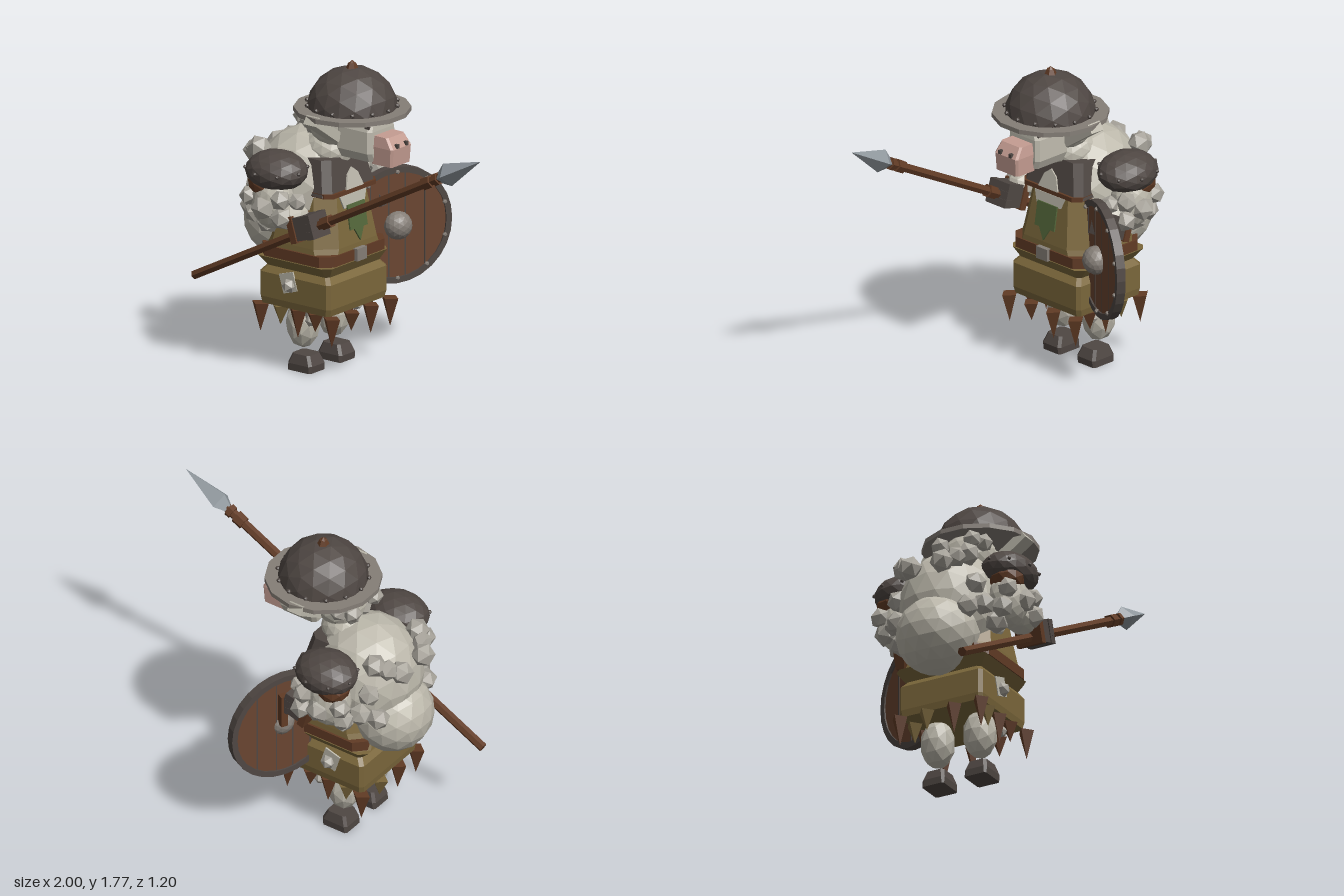
import * as THREE from 'three';

const mat = (name, color) => {
  const m = new THREE.MeshStandardMaterial({ color, flatShading: true });
  m.name = name;
  return m;
};
const M = {
  wool: mat('wool', 0xbcb8ab), curl: mat('wool curl', 0xa9a59c), iron: mat('dark iron', 0x4f4743),
  trim: mat('grey trim', 0x857e77), leather: mat('leather', 0x613b25), wood: mat('shield wood', 0x6a4530),
  cloth: mat('olive cloth', 0x7b673b), green: mat('green emblem', 0x53663a), skin: mat('pink skin', 0xc59d92),
  steel: mat('steel', 0x8e969c),
};
const MID = 0.1; // body centre in z; the figure looks along +x

function add(parent, name, geo, material, x = 0, y = 0, z = 0) {
  const m = new THREE.Mesh(geo, material);
  m.name = name;
  m.position.set(x, y, z);
  parent.add(m);
  return m;
}
const box = (x, y, z) => new THREE.BoxGeometry(x, y, z);
const cyl = (r0, r1, h, n) => new THREE.CylinderGeometry(r0, r1, h, n);
const ball = (rx, ry, rz, detail = 2) => new THREE.IcosahedronGeometry(1, detail).scale(rx, ry, rz);

// Sphere flattened below a given height (as a fraction of the radius)
function dome(rx, ry, rz, floor) {
  const g = new THREE.IcosahedronGeometry(1, 2), p = g.attributes.position;
  for (let i = 0; i < p.count; i++) if (p.getY(i) < floor) p.setY(i, floor);
  return g.scale(rx, ry, rz);
}

// Stack of chamfered rectangles, each [y, x0, x1, half depth, chamfer]
function loft(sections) {
  const pos = [], idx = [];
  sections.forEach(([y, a, b, d, c]) => {
    [[b, d - c], [b, c - d], [b - c, -d], [a + c, -d], [a, c - d], [a, d - c], [a + c, d], [b - c, d]]
      .forEach(([x, z]) => pos.push(x, y, z));
  });
  const top = (sections.length - 1) * 8;
  for (let s = 0; s < top; s += 8)
    for (let i = 0; i < 8; i++) {
      const j = (i + 1) % 8;
      idx.push(s + i, s + j, s + 8 + j, s + i, s + 8 + j, s + 8 + i);
    }
  for (let i = 1; i < 7; i++) idx.push(0, i + 1, i, top, top + i, top + i + 1);
  const g = new THREE.BufferGeometry();
  g.setAttribute('position', new THREE.Float32BufferAttribute(pos, 3));
  g.setIndex(idx);
  g.computeVertexNormals();
  return g;
}

function curls(parent, list, r = 0.06) {
  list.forEach(([x, y, z, k = 1], i) => {
    add(parent, 'woolCurl', new THREE.IcosahedronGeometry(r * k, 0), M.curl, x, y, z).rotation.set(i, i * 2, 0);
  });
}

function buildHead() {
  const g = new THREE.Group();
  g.name = 'head';
  add(g, 'headWool', ball(0.15, 0.14, 0.15), M.wool, -0.29, 1.4, 0);
  add(g, 'neckWool', ball(0.15, 0.12, 0.14), M.wool, -0.34, 1.24, 0);
  add(g, 'face', loft([[1.25, -0.19, 0.04, 0.1, 0.02], [1.3, -0.2, 0.045, 0.122, 0.02],
    [1.42, -0.2, 0.04, 0.115, 0.02], [1.485, -0.2, 0.03, 0.085, 0.02]]), M.wool);
  add(g, 'muzzle', loft([[1.24, 0.02, 0.165, 0.085, 0.012], [1.34, 0.02, 0.172, 0.088, 0.012],
    [1.4, 0.02, 0.13, 0.078, 0.012]]), M.skin);
  for (const s of [-1, 1]) {
    add(g, 'nostril', box(0.02, 0.022, 0.018), M.iron, 0.168, 1.355, s * 0.04);
    add(g, 'eye', box(0.03, 0.03, 0.015), M.iron, 0.01, 1.45, s * 0.1);
    const ear = add(g, 'ear', box(0.09, 0.055, 0.24), M.wool, -0.21, 1.425, s * 0.215);
    ear.rotation.x = -s * 0.6;
    curls(g, [[-0.44, 1.43, s * 0.1], [-0.37, 1.43, s * 0.13], [-0.4, 1.37, s * 0.05]], 0.055);
  }
  // Helmet with wide brim, rivets and top knob
  const h = new THREE.Group();
  h.name = 'helmet';
  h.position.set(-0.175, 1.5, 0);
  add(h, 'helmetDome', dome(0.25, 0.235, 0.25, 0), M.iron);
  add(h, 'helmetBrim', cyl(0.322, 0.322, 0.026, 14), M.trim, 0, -0.003, 0);
  add(h, 'helmetKnob', cyl(0.022, 0.035, 0.03, 6), M.leather, 0, 0.24, 0);
  add(h, 'knobTip', new THREE.ConeGeometry(0.022, 0.02, 6), M.leather, 0, 0.262, 0);
  for (let i = 0; i < 14; i++) {
    const a = (i / 14) * Math.PI * 2;
    add(h, 'helmetRivet', ball(0.014, 0.014, 0.014, 0), M.iron, Math.cos(a) * 0.252, 0.028, Math.sin(a) * 0.252);
  }
  g.add(h);
  return g;
}

function buildBody() {
  const g = new THREE.Group();
  g.name = 'body';
  add(g, 'torsoWool', ball(0.31, 0.34, 0.3), M.wool, -0.475, 1.005, 0);
  add(g, 'rumpWool', ball(0.225, 0.225, 0.235), M.wool, -0.64, 0.795, 0);
  for (const s of [-1, 1])
    curls(g, [[-0.66, 1.23, s * 0.2, 1.15], [-0.77, 1.17, s * 0.1, 1.15], [-0.72, 1.2, s * 0.16],
      [-0.7, 0.9, s * 0.22, 1.1], [-0.62, 0.93, s * 0.28, 1.1], [-0.52, 0.86, s * 0.3, 1.15], [-0.65, 1.05, s * 0.24, 1.1]]);
  // Clothing
  add(g, 'tunic', loft([[0.64, -0.64, -0.13, 0.275, 0.07], [0.74, -0.62, -0.135, 0.265, 0.1],
    [1.04, -0.55, -0.185, 0.215, 0.09]]), M.cloth);
  add(g, 'skirt', loft([[0.37, -0.615, -0.14, 0.255, 0.02], [0.41, -0.62, -0.13, 0.262, 0.02],
    [0.55, -0.62, -0.13, 0.262, 0.02], [0.585, -0.59, -0.16, 0.235, 0.02], [0.645, -0.645, -0.125, 0.28, 0.04]]), M.cloth);
  add(g, 'belt', loft([[0.65, -0.625, -0.125, 0.28, 0.06], [0.71, -0.625, -0.125, 0.28, 0.06]]), M.leather);
  add(g, 'buckle', box(0.03, 0.07, 0.085), M.trim, -0.12, 0.68, 0);
  add(g, 'collar', loft([[1.03, -0.55, -0.165, 0.226, 0.04], [1.225, -0.5, -0.21, 0.18, 0.04]]), M.iron);
  add(g, 'collarStrap', loft([[1.025, -0.55, -0.155, 0.222, 0.04], [1.05, -0.55, -0.155, 0.222, 0.04]]), M.leather);
  const tuft = new THREE.Shape([[-0.075, 0], [0.075, 0], [0.045, 0.08], [0, 0.115], [-0.045, 0.08]].map(p => new THREE.Vector2(...p)));
  const flag = new THREE.Shape([[-0.075, 0.14], [-0.075, 0], [-0.04, 0], [0, -0.07], [0.04, 0], [0.075, 0], [0.075, 0.14]].map(p => new THREE.Vector2(...p)));
  const patch = new THREE.Shape([[-0.09, 0], [0.09, 0.01], [0.115, 0.07], [-0.115, 0.07]].map(p => new THREE.Vector2(...p)));
  const plate = (name, shape, m, x, y, tilt) => {
    const geo = new THREE.ExtrudeGeometry(shape, { depth: 0.009, bevelEnabled: false }).rotateY(Math.PI / 2);
    add(g, name, geo, m, x, y, 0).rotation.z = tilt;
  };
  plate('chestTuft', tuft, M.wool, -0.162, 1.048, 0.23);
  plate('chestPatch', patch, M.wool, -0.166, 0.945, 0.16);
  plate('emblem', flag, M.green, -0.135, 0.825, 0.16);
  for (const s of [-1, 1]) {
    add(g, 'skirtPatch', box(0.1, 0.11, 0.009), M.wool, -0.41, 0.52, s * 0.262).rotation.z = 0.3;
    add(g, 'skirtStud', new THREE.IcosahedronGeometry(0.042, 0), M.curl, -0.4, 0.505, s * 0.27);
  }
  // Hanging rags around the hem
  const rag = (x, z, i) => {
    const h = i % 2 ? 0.11 : 0.165;
    const r = add(g, 'hemRag', new THREE.ConeGeometry(0.058, h, 4), i % 3 === 1 ? M.cloth : M.leather, x, 0.37 - h / 2, z);
    r.rotation.x = Math.PI;
    r.scale.z = 0.8;
  };
  for (let i = 0; i < 4; i++) {
    for (const s of [-1, 1]) if (i) rag(-0.61 + i * 0.12, s * 0.23, i);
    const z = -0.255 + i * 0.17;
    rag(-0.115, z, i === 0 || i === 3 ? 0 : i + 1);
    rag(-0.61, z, i === 0 || i === 3 ? 0 : i);
  }
  // Legs and shoes
  for (const s of [-1, 1]) {
    add(g, 'leg', ball(0.095, 0.145, 0.097, 1), M.wool, -0.41, 0.265, s * 0.133);
    curls(g, [[-0.33, 0.33, s * 0.16], [-0.3, 0.31, s * 0.2, 0.8]], 0.045);
    add(g, 'shoe', loft([[0, -0.47, -0.31, 0.068, 0.01], [0.04, -0.47, -0.305, 0.07, 0.015],
      [0.095, -0.45, -0.33, 0.055, 0.015]]), M.iron, 0, 0, s * 0.133);
  }
  return g;
}

function buildArm(s) {
  const g = new THREE.Group();
  g.name = s > 0 ? 'spearArm' : 'shieldArm';
  add(g, 'upperArm', ball(0.125, 0.16, 0.11), M.wool, -0.46, 1.0, s * 0.34);
  add(g, 'forearm', ball(0.13, 0.085, 0.09, 1), M.wool, -0.34, 0.94, s * 0.345);
  add(g, 'shoulderLeather', ball(0.09, 0.09, 0.1, 1), M.leather, -0.5, 1.11, s * 0.355);
  const p = new THREE.Group();
  p.name = 'pauldron';
  p.position.set(-0.435, 1.175, s * 0.335);
  p.rotation.x = s * 0.12;
  add(p, 'pauldronShell', dome(0.185, 0.11, 0.15, -0.65), M.iron);
  for (let i = 0; i < 8; i++) {
    const a = (i / 8) * Math.PI * 2 + 0.2;
    add(p, 'pauldronRivet', ball(0.012, 0.012, 0.012, 0), M.iron, Math.cos(a) * 0.182, 0.02, Math.sin(a) * 0.148);
  }
  g.add(p);
  curls(g, [[-0.57, 1.02, s * 0.4], [-0.45, 0.98, s * 0.43, 1.2], [-0.34, 1.04, s * 0.42],
    [-0.33, 0.94, s * 0.42, 1.1], [-0.56, 0.92, s * 0.36, 1.1], [-0.27, 1.03, s * 0.36, 0.9]]);
  const hand = new THREE.Group();
  hand.name = 'gauntlet';
  hand.position.set(s > 0 ? -0.2 : -0.29, 0.905, s * 0.355);
  hand.rotation.z = 0.3;
  add(hand, 'palm', box(0.1, 0.13, 0.14), M.iron);
  add(hand, 'cuff', box(0.04, 0.15, 0.16), M.leather, -0.06, 0, 0);
  for (const k of [-1, 0, 1]) add(hand, 'finger', box(0.045, 0.045, 0.15), M.iron, 0.06, k * 0.046, 0);
  g.add(hand);
  return g;
}

function buildSpear() {
  const g = new THREE.Group();
  g.name = 'spear';
  // Built upright from butt to tip, then leaned forward
  add(g, 'shaft', cyl(0.027, 0.027, 1.94, 6), M.leather, 0, 0.97, 0);
  for (const [y, h] of [[1.04, 0.06], [1.83, 0.06], [1.9, 0.03]]) add(g, 'shaftRing', cyl(0.038, 0.038, h, 6), M.leather, 0, y, 0);
  add(g, 'spearSocket', cyl(0.066, 0.03, 0.06, 4), M.steel, 0, 1.95, 0);
  add(g, 'spearPoint', new THREE.ConeGeometry(0.066, 0.26, 4), M.steel, 0, 2.11, 0);
  g.position.set(-0.99, 0.475, 0.455);
  g.rotation.z = Math.atan2(1.03, 1.99) - Math.PI / 2;
  return g;
}

function buildShield() {
  const g = new THREE.Group();
  g.name = 'shield';
  const n = 14, disc = (r, h) => cyl(r, r, h, n).rotateX(Math.PI / 2);
  add(g, 'shieldBoard', disc(0.305, 0.03), M.wood);
  const ring = new THREE.Shape().absarc(0, 0, 0.332, 0, Math.PI * 2);
  ring.holes.push(new THREE.Path().absarc(0, 0, 0.298, 0, Math.PI * 2, true));
  add(g, 'shieldRim', new THREE.ExtrudeGeometry(ring, { depth: 0.05, bevelEnabled: false, curveSegments: n }), M.iron, 0, 0, -0.025);
  for (const x of [-0.16, -0.05, 0.05, 0.17])
    add(g, 'plankSeam', box(0.008, 2 * Math.sqrt(0.088 - x * x), 0.034), M.iron, x, 0, 0);
  add(g, 'shieldBoss', ball(0.08, 0.08, 0.075, 2), M.trim, 0, 0, 0.03);
  for (let i = 0; i < 10; i++) {
    const a = ((i + 0.5) / 10) * Math.PI * 2;
    add(g, 'shieldRivet', ball(0.014, 0.014, 0.014, 0), M.trim, Math.cos(a) * 0.302, Math.sin(a) * 0.302, 0.025);
  }
  add(g, 'shieldGrip', box(0.04, 0.2, 0.04), M.leather, 0.02, 0.12, -0.035);
  g.position.set(-0.18, 0.742, -0.285);
  g.rotation.y = Math.PI / 2 - 0.44;
  return g;
}

export function createModel() {
  const root = new THREE.Group();
  root.name = 'sheepSoldier';
  const figure = new THREE.Group();
  figure.name = 'figure';
  figure.position.z = MID;
  figure.add(buildHead(), buildBody(), buildArm(1), buildArm(-1));
  root.add(figure, buildSpear(), buildShield());
  return root;
}
